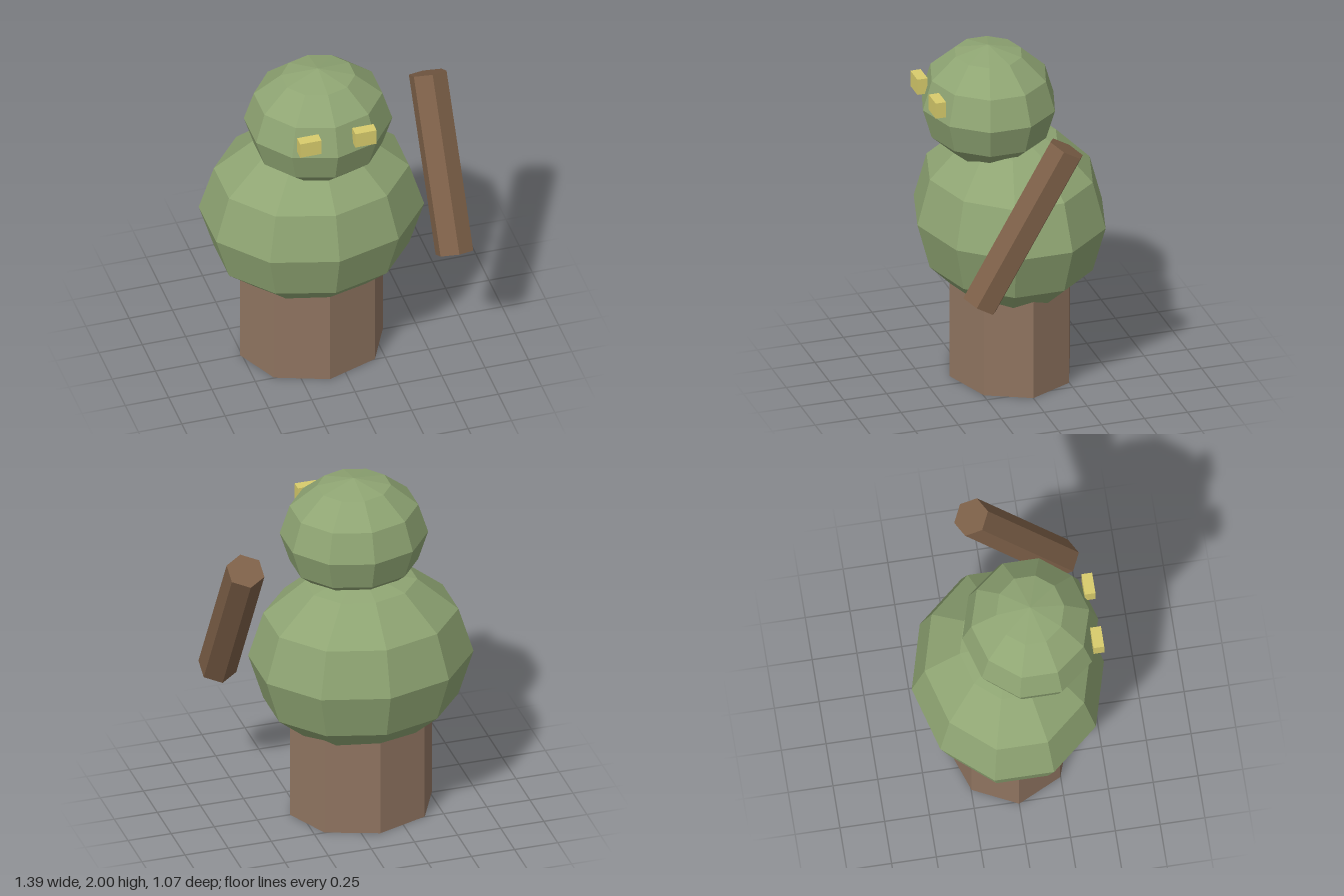
import * as THREE from 'three';

const material = (color) => new THREE.MeshStandardMaterial({ color, flatShading: true });

export function createModel() {
  const model = new THREE.Group();
  const green = material(0x8fa573);
  const bark = material(0x8f7460);
  const wood = material(0x7d6048);
  const yellow = material(0xd8cc6c);

  const add = (name, geometry, mat, x, y, z) => {
    const mesh = new THREE.Mesh(geometry, mat);
    mesh.name = name;
    mesh.position.set(x, y, z);
    model.add(mesh);
    return mesh;
  };

  // Ten-sided faceted ball with a corner on the z axis, stretched per axis
  const ball = (rx, ry, rz) =>
    new THREE.SphereGeometry(1, 10, 6, Math.PI / 2).scale(rx, ry, rz);

  // Eight-sided stump, its top sunk into the body
  const stump = new THREE.CylinderGeometry(0.35, 0.35, 0.68, 8).scale(1.175, 1, 1);
  add('stump', stump, bark, -0.1, 0.34, 0);

  // Body and forward-set head
  add('body', ball(0.631, 0.537, 0.537), green, -0.1, 0.955, 0);
  add('head', ball(0.413, 0.345, 0.38), green, -0.1, 1.655, 0.125);

  // Block eyes
  for (const side of [-1, 1]) {
    const name = side < 0 ? 'rightEye' : 'leftEye';
    add(name, new THREE.BoxGeometry(0.122, 0.093, 0.06), yellow, -0.098 + side * 0.159, 1.752, 0.475);
  }

  // Six-sided club beside the body, top leaning back
  const club = add('club', new THREE.CylinderGeometry(0.109, 0.109, 1.015, 6), wood, 0.6, 1.21, 0.157);
  club.rotation.x = -Math.PI / 6;

  return model;
}
